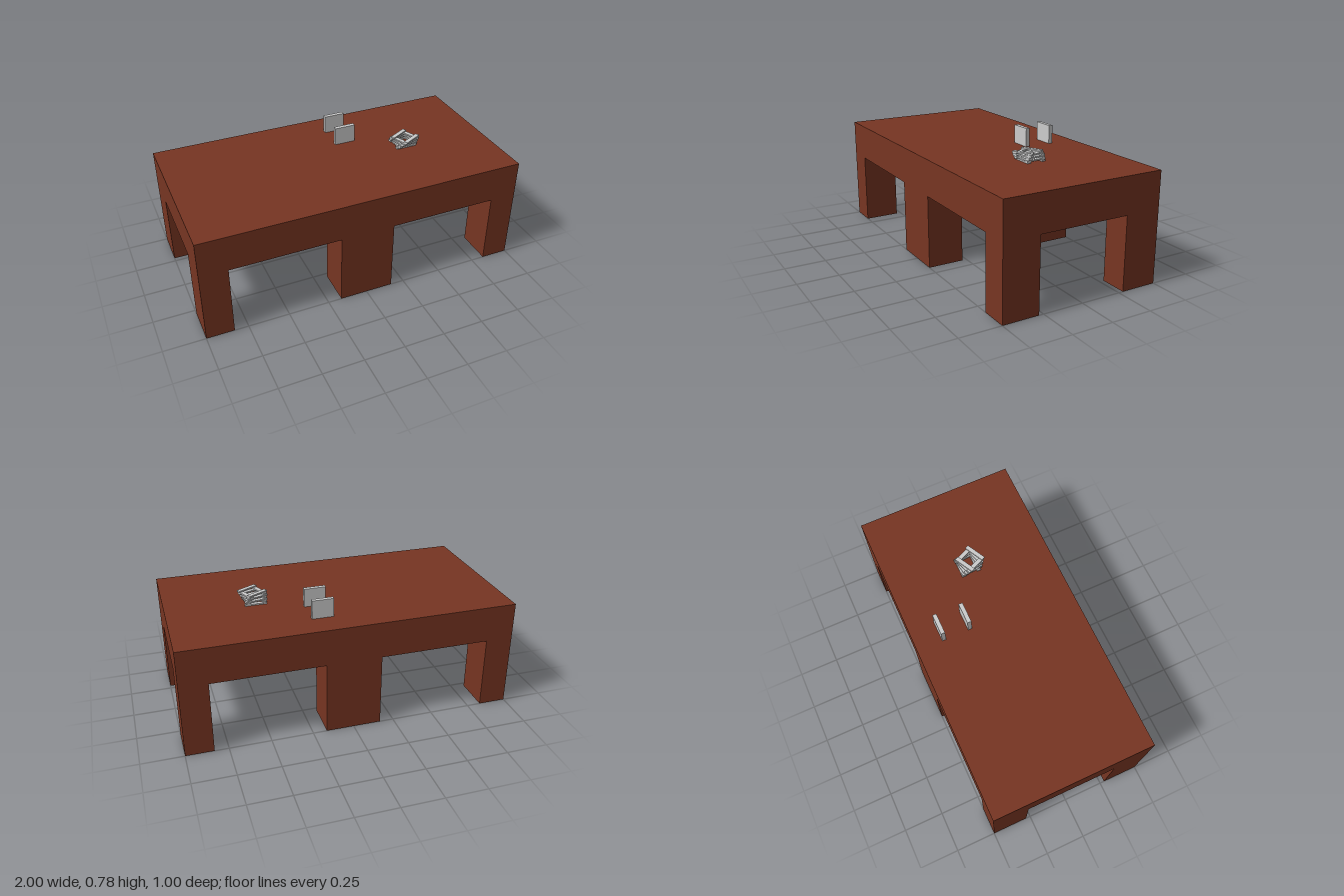
import * as THREE from 'three';

const TOP = 0.667;        // tabletop height
const APRON = 0.445;      // underside of the thick top
const PLANK = { l: 0.13, t: 0.0087, w: 0.025 };

const wood = new THREE.MeshStandardMaterial({ color: 0x773522, flatShading: true });
const grey = new THREE.MeshStandardMaterial({ color: 0xcccccc, flatShading: true });

function box(name, size, pos, material) {
  const mesh = new THREE.Mesh(new THREE.BoxGeometry(...size), material);
  mesh.name = name;
  mesh.position.set(...pos);
  return mesh;
}

// Square table: solid thick top on four corner legs
function makeTable() {
  const table = new THREE.Group();
  table.name = 'table';
  table.add(box('tableTop', [1, TOP - APRON, 1], [0, (TOP + APRON) / 2, 0], wood));
  const lw = 0.167, ld = 0.222;
  for (const sx of [-1, 1]) {
    for (const sz of [-1, 1]) {
      table.add(box('leg', [lw, APRON, ld],
        [sx * (0.5 - lw / 2), APRON / 2, sz * (0.5 - ld / 2)], wood));
    }
  }
  return table;
}

// Straight wall of planks laid flat on each other
function makeWall(x, z) {
  const wall = new THREE.Group();
  wall.name = 'plankWall';
  for (let i = 0; i < 13; i++) {
    wall.add(box('plank', [PLANK.l, PLANK.t, PLANK.w], [0, (i + 0.5) * PLANK.t, 0], grey));
  }
  wall.position.set(x, TOP, z);
  return wall;
}

// Twisting tower: crossed pairs of planks, each layer turned and shifted a little
function makeTower(x, z) {
  const tower = new THREE.Group();
  tower.name = 'twistedTower';
  for (let i = 0; i < 7; i++) {
    const layer = new THREE.Group();
    layer.name = 'towerLayer';
    for (const s of [-1, 1]) {
      layer.add(box('plank', [PLANK.l, PLANK.t, PLANK.w], [0, 0, s * 0.049], grey));
    }
    layer.position.set(i * 0.001, (i + 0.5) * PLANK.t, i * 0.0037);
    layer.rotation.y = THREE.MathUtils.degToRad(i * 4.6 + (i % 2) * 90);
    tower.add(layer);
  }
  tower.position.set(x, TOP, z);
  return tower;
}

export function createModel() {
  const model = new THREE.Group();
  model.name = 'tablesWithPlanks';
  for (const s of [-1, 1]) {
    const table = makeTable();
    table.position.x = s * 0.5;
    model.add(table);
  }
  model.add(makeWall(0.14, -0.16), makeWall(0.14, -0.327), makeTower(0.47, -0.003));
  return model;
}
